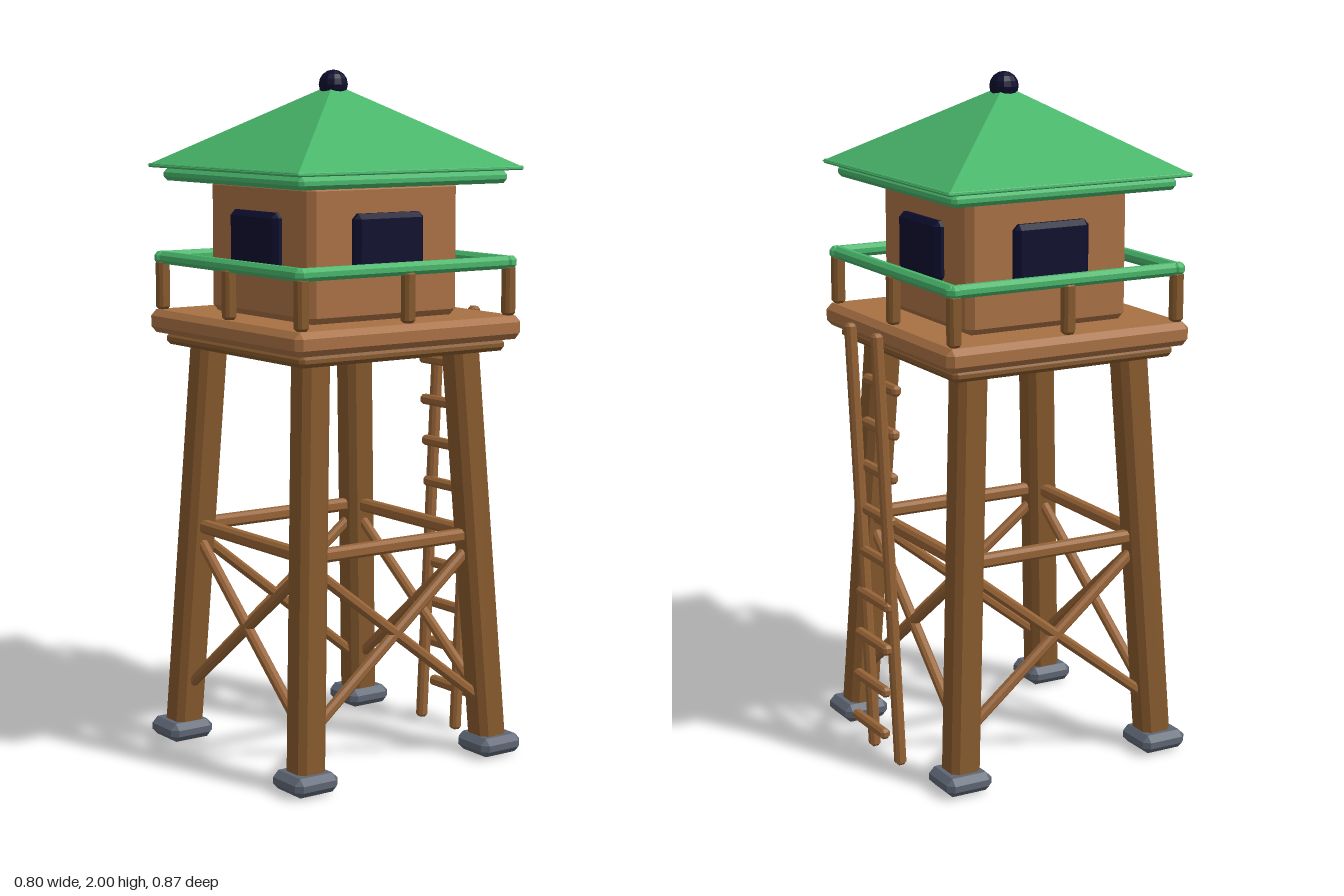
import * as THREE from 'three';
import { ConvexGeometry } from 'three/addons/geometries/ConvexGeometry.js';

const mat = (name, color) => {
  const m = new THREE.MeshStandardMaterial({ color });
  m.name = name;
  return m;
};

// Box with flat chamfers on every edge
function chamferBox(w, h, d, c) {
  const pts = [], half = [w / 2, h / 2, d / 2];
  for (const sx of [-1, 1]) for (const sy of [-1, 1]) for (const sz of [-1, 1]) {
    for (let axis = 0; axis < 3; axis++) {
      const p = [sx, sy, sz].map((s, i) => s * (half[i] - (i === axis ? 0 : c)));
      pts.push(new THREE.Vector3(...p));
    }
  }
  return new ConvexGeometry(pts);
}

export function createModel() {
  const model = new THREE.Group();
  model.name = 'watchtower';
  const tower = new THREE.Group();
  tower.name = 'tower';
  tower.position.z = 0.036;
  model.add(tower);

  const planks = mat('plank brown', 0xa87043);
  const timber = mat('timber brown', 0x84582c);
  const brace = mat('brace brown', 0x966336);
  const green = mat('roof green', 0x48b56a);
  const navy = mat('dark navy', 0x0d0d2e);
  const stone = mat('stone grey', 0x5d6673);

  const add = (parent, name, geo, material, x = 0, y = 0, z = 0) => {
    const m = new THREE.Mesh(geo, material);
    m.name = name;
    m.position.set(x, y, z);
    parent.add(m);
    return m;
  };
  const box = (parent, name, material, [w, h, d], [x, y, z], c) =>
    add(parent, name, chamferBox(w, h, d, c), material, x, y, z);

  // Chamfered beam between two points
  const beam = (parent, name, material, a, b, t, c) => {
    const A = new THREE.Vector3(...a), B = new THREE.Vector3(...b);
    const m = add(parent, name, chamferBox(t, A.distanceTo(B), t, c), material);
    m.position.copy(A).add(B).multiplyScalar(0.5);
    m.quaternion.setFromUnitVectors(new THREE.Vector3(0, 1, 0), B.sub(A).normalize());
    return m;
  };

  // Feet and splayed legs
  const legAt = (y) => 0.327 - 0.064 * (y / 1.2);
  for (const sx of [-1, 1]) for (const sz of [-1, 1]) {
    box(tower, 'foot', stone, [0.144, 0.055, 0.144], [sx * 0.329, 0.036, sz * 0.329], 0.018);
    const lo = legAt(0.03), hi = legAt(1.22);
    beam(tower, 'leg', timber, [sx * lo, 0.03, sz * lo], [sx * hi, 1.22, sz * hi], 0.092, 0.018);
  }

  // Each side: cross braces, tie beam, railing and window
  for (let i = 0; i < 4; i++) {
    const side = new THREE.Group();
    side.name = 'side';
    side.rotation.y = i * Math.PI / 2;
    tower.add(side);
    const lo = legAt(0.16), hi = legAt(0.64), mid = legAt(0.66);
    for (const s of [-1, 1]) {
      beam(side, 'crossBrace', brace, [-s * lo, 0.155, lo], [s * hi, 0.635, hi], 0.03, 0.008);
    }
    beam(side, 'tieBeam', brace, [-mid, 0.66, mid], [mid, 0.66, mid], 0.038, 0.009);
    beam(side, 'handrail', green, [-0.384, 1.455, 0.36], [0.384, 1.455, 0.36], 0.036, 0.011);
    box(side, 'middlePost', timber, [0.036, 0.145, 0.036], [0, 1.375, 0.36], 0.008);
    box(side, 'cornerPost', timber, [0.036, 0.145, 0.036], [0.36, 1.375, 0.36], 0.008);
    box(side, 'window', navy, [0.24, 0.17, 0.05], [0, 1.52, 0.26], 0.015);
  }

  // Platform and cabin
  box(tower, 'platformBase', timber, [0.715, 0.035, 0.715], [0, 1.217, 0], 0.012);
  box(tower, 'platformDeck', planks, [0.785, 0.068, 0.785], [0, 1.268, 0], 0.018);
  box(tower, 'cabin', planks, [0.52, 0.39, 0.52], [0, 1.495, 0], 0.02);

  // Eave, pyramid roof and ball
  box(tower, 'eave', green, [0.72, 0.036, 0.72], [0, 1.698, 0], 0.012);
  const roof = new THREE.ConeGeometry(0.391 * Math.SQRT2, 0.236, 4, 1).toNonIndexed();
  roof.rotateY(Math.PI / 4);
  roof.computeVertexNormals();
  add(tower, 'roof', roof, green, 0, 1.842, 0);
  box(tower, 'roofEdge', green, [0.778, 0.012, 0.778], [0, 1.724, 0], 0.003);
  const ball = new THREE.SphereGeometry(0.042, 12, 8).toNonIndexed();
  ball.computeVertexNormals();
  add(tower, 'finial', ball, navy, 0, 1.958, 0);

  // Ladder at the back
  const ladder = new THREE.Group();
  ladder.name = 'ladder';
  model.add(ladder);
  for (const s of [-1, 1]) {
    beam(ladder, 'ladderRail', brace, [s * 0.084, 0.003, -0.359], [s * 0.084, 1.3, -0.42], 0.032, 0.008);
  }
  for (let i = 0; i < 9; i++) {
    const y = 0.11 + i * 0.1275, z = -0.412 + i * 0.006;
    beam(ladder, 'rung', brace, [-0.1, y, z], [0.1, y, z], 0.03, 0.008);
  }
  return model;
}
